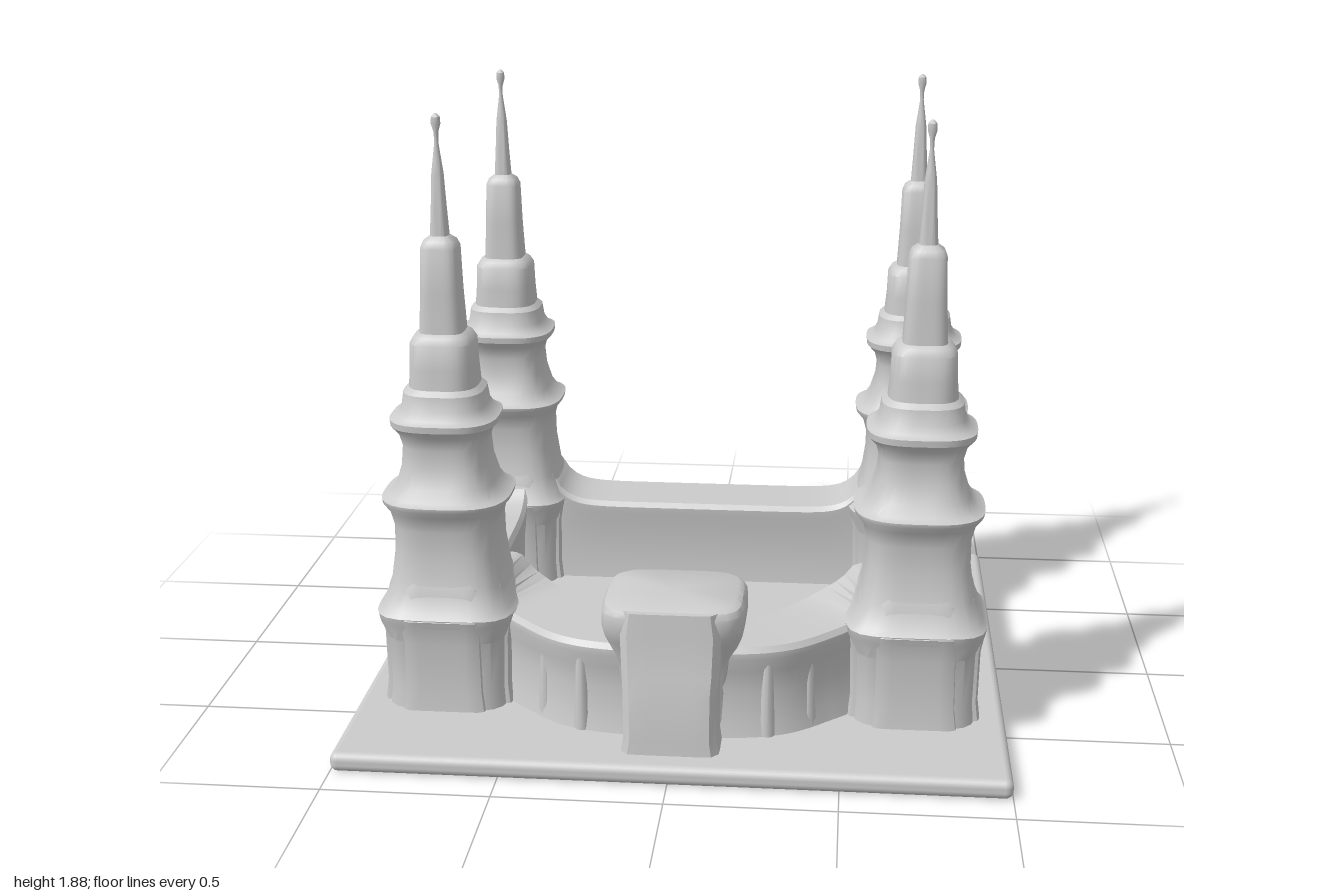
import * as THREE from 'three';
import { RoundedBoxGeometry } from 'three/addons/geometries/RoundedBoxGeometry.js';
import { toCreasedNormals } from 'three/addons/utils/BufferGeometryUtils.js';

const stone = new THREE.MeshStandardMaterial({ color: 0xcccccc, roughness: 0.9 });
const TOWER_X = 0.72;
const TOWER_Z = [0.39, -0.64];

function addMesh(parent, name, geometry) {
  const mesh = new THREE.Mesh(geometry, stone);
  mesh.name = name;
  parent.add(mesh);
  return mesh;
}

// Skin a series of closed rings (counter-clockwise seen from the end) and cap both ends.
function loft(rings, crease = 0.6) {
  const n = rings[0].length;
  const positions = [];
  const index = [];
  rings.forEach((ring) => ring.forEach((p) => positions.push(p.x, p.y, p.z)));
  for (let k = 0; k < rings.length - 1; k++) {
    for (let i = 0; i < n; i++) {
      const j = (i + 1) % n;
      const a = k * n + i, b = k * n + j;
      index.push(a, b, b + n, a, b + n, a + n);
    }
  }
  [0, rings.length - 1].forEach((k) => {
    const centre = new THREE.Vector3();
    rings[k].forEach((p) => centre.addScaledVector(p, 1 / n));
    const c = positions.length / 3;
    positions.push(centre.x, centre.y, centre.z);
    for (let i = 0; i < n; i++) {
      const a = k * n + i, b = k * n + ((i + 1) % n);
      if (k === 0) index.push(c, b, a);
      else index.push(c, a, b);
    }
  });
  const geometry = new THREE.BufferGeometry();
  geometry.setAttribute('position', new THREE.Float32BufferAttribute(positions, 3));
  geometry.setIndex(index);
  return toCreasedNormals(geometry, crease);
}

// Horizontal rounded-rectangle ring; a larger power gives squarer corners.
function ring(y, rx, rz, power, cx = 0, cz = 0, count = 40) {
  const points = [];
  for (let i = 0; i < count; i++) {
    const a = ((i + 0.5) / count) * Math.PI * 2;
    const c = Math.cos(a), s = Math.sin(a);
    const r = (Math.abs(c) ** power + Math.abs(s) ** power) ** (-1 / power);
    points.push(new THREE.Vector3(cx + rx * r * c, y, cz - rz * r * s));
  }
  return points;
}

// Tower outline as height, half width, corner power
const towerProfile = [
  [0.04, 0.19, 5], [0.12, 0.182, 5], [0.28, 0.185, 5], [0.34, 0.21, 4.5], [0.365, 0.215, 4.5],
  [0.38, 0.2, 4.5], [0.45, 0.172, 4.5], [0.55, 0.158, 4.5], [0.63, 0.158, 4], [0.68, 0.172, 3.5],
  [0.705, 0.195, 3], [0.718, 0.197, 3], [0.728, 0.175, 3], [0.76, 0.15, 3.5], [0.82, 0.131, 4],
  [0.88, 0.126, 4], [0.92, 0.138, 3.5], [0.945, 0.163, 3], [0.965, 0.165, 3], [0.975, 0.145, 3],
  [1.0, 0.129, 3], [1.045, 0.122, 3], [1.06, 0.105, 3], [1.12, 0.099, 3.5], [1.195, 0.096, 3.5],
  [1.215, 0.084, 3.5], [1.225, 0.067, 4], [1.35, 0.06, 4], [1.48, 0.056, 4], [1.5, 0.048, 3.5],
  [1.515, 0.028, 3], [1.6, 0.023, 2.5], [1.7, 0.018, 2], [1.73, 0.014, 2], [1.79, 0.006, 2],
  [1.82, 0.007, 2], [1.845, 0.014, 2], [1.865, 0.013, 2], [1.875, 0.004, 2],
];

// Panel on a tower's foot as height, half width, reach from the tower axis
function footPanel(flare) {
  const rows = [
    [0.04, 0.13, 0.205], [0.12, 0.12, 0.195], [0.28, 0.118, 0.198], [0.335, 0.125, flare - 0.008],
    [0.36, 0.125, flare], [0.38, 0.122, flare - 0.025], [0.44, 0.11, 0.178], [0.5, 0.1, 0.155],
  ];
  return loft(rows.map(([y, w, reach]) => ring(y, w, (reach - 0.1) / 2, 9, 0, (reach + 0.1) / 2)));
}

function makeTower(x, z) {
  const tower = new THREE.Group();
  addMesh(tower, 'towerBody', loft(towerProfile.map(([y, r, power]) => ring(y, r, r, power))));
  for (let k = 0; k < 4; k++) {
    const angle = (k * Math.PI) / 2;
    // Outer panels of the rear towers flare further out
    const outward = z < 0 && (Math.cos(angle) < -0.5 || Math.sin(angle) * x > 0.5);
    addMesh(tower, 'footPanel', footPanel(outward ? 0.245 : 0.216)).rotation.y = angle;
  }
  tower.position.set(x, 0, z);
  return tower;
}

// Wall section as offset towards the outside, height
const wallSection = [
  [-0.115, 0.04], [0.12, 0.04], [0.104, 0.11], [0.1, 0.2], [0.106, 0.27], [0.122, 0.315],
  [0.122, 0.335], [0.11, 0.352], [-0.11, 0.352], [-0.122, 0.335], [-0.12, 0.31], [-0.11, 0.26],
  [-0.105, 0.12],
];

// Sweep the wall along a path that runs counter-clockwise around the court
function makeWall(points, steps = 48) {
  const curve = new THREE.CatmullRomCurve3(points.map(([x, z]) => new THREE.Vector3(x, 0, z)));
  const rings = [];
  for (let i = 0; i <= steps; i++) {
    const p = curve.getPointAt(i / steps);
    const t = curve.getTangentAt(i / steps);
    // The wall head sweeps up where it meets a tower
    const gaps = TOWER_Z.map((z) => Math.max(Math.abs(Math.abs(p.x) - TOWER_X), Math.abs(p.z - z)));
    const rise = 0.1 * Math.exp(-Math.max(Math.min(...gaps) - 0.165, 0) / 0.045);
    rings.push(wallSection.map(([o, y]) =>
      new THREE.Vector3(p.x + t.z * o, y > 0.3 ? y + rise : y, p.z - t.x * o)));
  }
  return loft(rings);
}

export function createModel() {
  const model = new THREE.Group();
  model.name = 'walledCourt';

  // Ground slab
  addMesh(model, 'baseSlab', new RoundedBoxGeometry(2, 0.06, 1.8, 3, 0.024)).position.y = 0.03;

  // Four corner towers
  for (const z of TOWER_Z) {
    for (const side of [-1, 1]) {
      const tower = makeTower(side * TOWER_X, z);
      tower.name = (z > 0 ? 'front' : 'rear') + (side > 0 ? 'Left' : 'Right') + 'Tower';
      model.add(tower);
    }
  }

  // Straight walls and the bowed front wall
  addMesh(model, 'rearWall', makeWall([[-0.6, -0.65], [0, -0.65], [0.6, -0.65]]));
  addMesh(model, 'leftWall', makeWall([[0.75, -0.53], [0.75, -0.13], [0.75, 0.28]]));
  addMesh(model, 'rightWall', makeWall([[-0.75, 0.28], [-0.75, -0.13], [-0.75, -0.53]]));
  const halfBow = [[0.62, 0.33], [0.51, 0.36], [0.4, 0.455], [0.29, 0.545], [0.18, 0.575]];
  const mirrored = halfBow.map(([x, z]) => [-x, z]).reverse();
  addMesh(model, 'frontWall', makeWall([...halfBow, ...mirrored], 80));

  // Slender buttresses along the outer wall faces
  const buttress = new THREE.CylinderGeometry(0.014, 0.026, 0.29, 10);
  const spots = [-0.42, -0.15, 0.12, 0.42].map((x) => [x, -0.755]);
  for (const side of [-1, 1]) {
    [-0.33, -0.2, -0.06, 0.08].forEach((z) => spots.push([side * 0.86, z]));
    spots.push([side * 0.28, 0.655], [side * 0.4, 0.575]);
  }
  for (const [x, z] of spots) addMesh(model, 'buttress', buttress).position.set(x, 0.185, z);

  // Gatehouse: height, half width, back z, front z, corner power
  const gate = new THREE.Group();
  gate.name = 'gatehouse';
  const stack = (rows) => loft(rows.map(([y, w, back, front, power]) =>
    ring(y, w, (front - back) / 2, power, 0, (front + back) / 2)));
  addMesh(gate, 'gateBody', stack([
    [0.04, 0.15, 0.5, 0.825, 12], [0.1, 0.14, 0.5, 0.82, 12], [0.24, 0.14, 0.5, 0.815, 12],
    [0.3, 0.145, 0.49, 0.8, 12], [0.42, 0.15, 0.48, 0.79, 12], [0.49, 0.14, 0.48, 0.785, 12],
  ]));
  addMesh(gate, 'gateHead', stack([
    [0.04, 0.165, 0.48, 0.7, 5], [0.22, 0.165, 0.47, 0.7, 5], [0.32, 0.18, 0.45, 0.73, 5],
    [0.38, 0.205, 0.435, 0.76, 5], [0.42, 0.213, 0.43, 0.775, 5], [0.47, 0.212, 0.43, 0.778, 5],
    [0.488, 0.203, 0.44, 0.77, 5], [0.498, 0.185, 0.455, 0.75, 5],
  ]));
  model.add(gate);

  return model;
}
